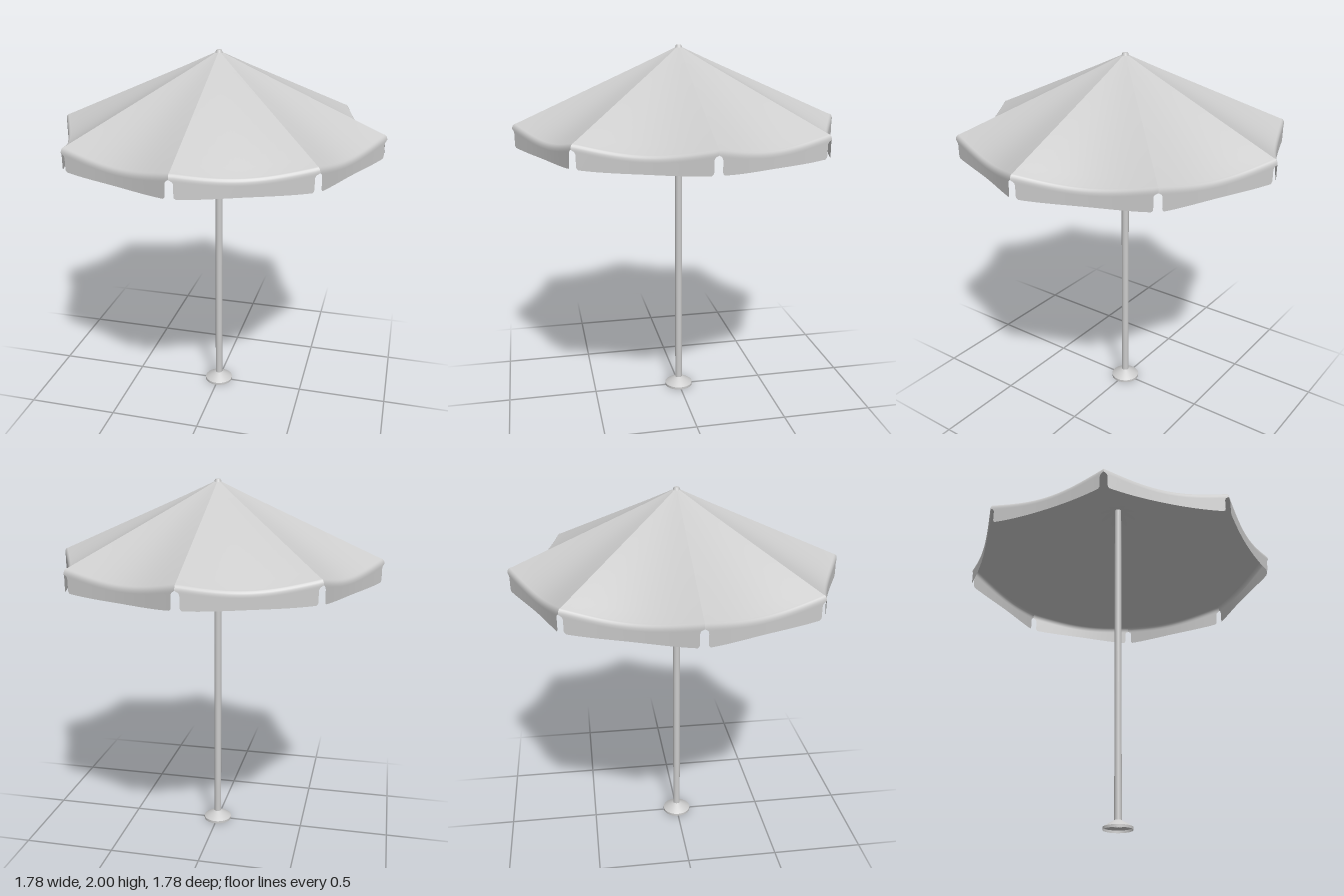
import * as THREE from 'three';

const SIDES = 8;
const material = new THREE.MeshStandardMaterial({ color: 0xcccccc, side: THREE.DoubleSide });

function addMesh(parent, name, geometry) {
  const mesh = new THREE.Mesh(geometry, material);
  mesh.name = name;
  parent.add(mesh);
  return mesh;
}

// Smooth sheet from a grid of points; columns run to the right, rows run down
function sheet(rows, cols, point) {
  const positions = [], index = [];
  for (let j = 0; j <= rows; j++) {
    for (let i = 0; i <= cols; i++) positions.push(...point(j, i / cols));
  }
  const w = cols + 1;
  for (let j = 0; j < rows; j++) {
    for (let i = 0; i < cols; i++) {
      const a = j * w + i, b = a + w;
      index.push(a, b, a + 1, a + 1, b, b + 1);
    }
  }
  const g = new THREE.BufferGeometry();
  g.setAttribute('position', new THREE.Float32BufferAttribute(positions, 3));
  g.setIndex(index);
  g.computeVertexNormals();
  return g;
}

// Point on the rim of a panel between two ribs, bowed inward at the middle
const R = 0.89, HALF = Math.PI / SIDES;
function rim(u, scale) {
  const k = R * scale * (1 - 0.022 * Math.sin(Math.PI * u));
  return [(2 * u - 1) * Math.sin(HALF) * k, Math.cos(HALF) * k];
}
const sag = (u) => 0.045 * Math.sin(Math.PI * u);

// Cloth between two ribs, from the apex to just before the rim
const TOP_ROWS = 14, FOLD_ROWS = 5, HEM_ROWS = 12;
const EDGE = 0.975, EDGE_Y = 1.608, APEX_Y = 1.992;
function roof(t, u, lift = 0) {
  const [x, z] = rim(u, t * EDGE);
  return [x, APEX_Y + lift - (APEX_Y - EDGE_Y) * t - sag(u) * t * t, z];
}

function panelPoint(j, u) {
  if (j <= TOP_ROWS) return roof(0.012 + 0.988 * (j / TOP_ROWS), u);
  // rounded fold over the rim
  if (j <= TOP_ROWS + FOLD_ROWS) {
    const a = ((j - TOP_ROWS) / FOLD_ROWS) * Math.PI / 2;
    const [x, z] = rim(u, EDGE + (1 - EDGE) * Math.sin(a));
    return [x, EDGE_Y - sag(u) - 0.028 * (1 - Math.cos(a)), z];
  }
  // hanging valance, cut back at both ends to leave an arched notch
  const s = (j - TOP_ROWS - FOLD_ROWS) / HEM_ROWS;
  const arch = Math.min(1, s / 0.25);
  const corner = Math.max(0, (s - 0.85) / 0.15);
  const inset = 0.032 * Math.sqrt(1 - (1 - arch) ** 2) + 0.014 * corner ** 2;
  const v = inset + u * (1 - 2 * inset);
  const [x, z] = rim(v, 1);
  const topY = EDGE_Y - 0.028 - sag(v);
  const bottomY = 1.475 + 0.014 * Math.abs(2 * v - 1) ** 3;
  return [x, topY + (bottomY - topY) * s, z];
}

export function createModel() {
  const model = new THREE.Group();
  model.name = 'parasol';

  // Canopy and top cap, one panel of each per side
  const canopy = new THREE.Group();
  canopy.name = 'canopy';
  const topCap = new THREE.Group();
  topCap.name = 'topCap';
  model.add(canopy, topCap);
  const panel = sheet(TOP_ROWS + FOLD_ROWS + HEM_ROWS, 28, panelPoint);
  const capPanel = sheet(3, 8, (j, u) => roof(0.012 + 0.188 * (j / 3), u, 0.003 - 0.001 * j));
  for (let i = 0; i < SIDES; i++) {
    const angle = (i + 0.5) * 2 * HALF;
    addMesh(canopy, 'canopyPanel', panel).rotation.y = angle;
    addMesh(topCap, 'capPanel', capPanel).rotation.y = angle;
  }

  // Small button at the apex
  const finial = addMesh(model, 'finial', new THREE.CylinderGeometry(0.014, 0.02, 0.015, 16));
  finial.position.y = 1.9925;

  // Pole
  const pole = addMesh(model, 'pole', new THREE.CylinderGeometry(0.02, 0.02, 1.965, 20));
  pole.position.y = 0.01 + 1.965 / 2;

  // Hollow foot: a short rim and a domed top
  const rimWall = new THREE.CylinderGeometry(0.08, 0.08, 0.014, 32, 1, true);
  addMesh(model, 'footRim', rimWall).position.y = 0.007;
  const dome = [[0.08, 0.014], [0.065, 0.024], [0.045, 0.036], [0.027, 0.046], [0.02, 0.05]];
  addMesh(model, 'footDome', new THREE.LatheGeometry(dome.map((p) => new THREE.Vector2(...p)), 32));

  return model;
}
